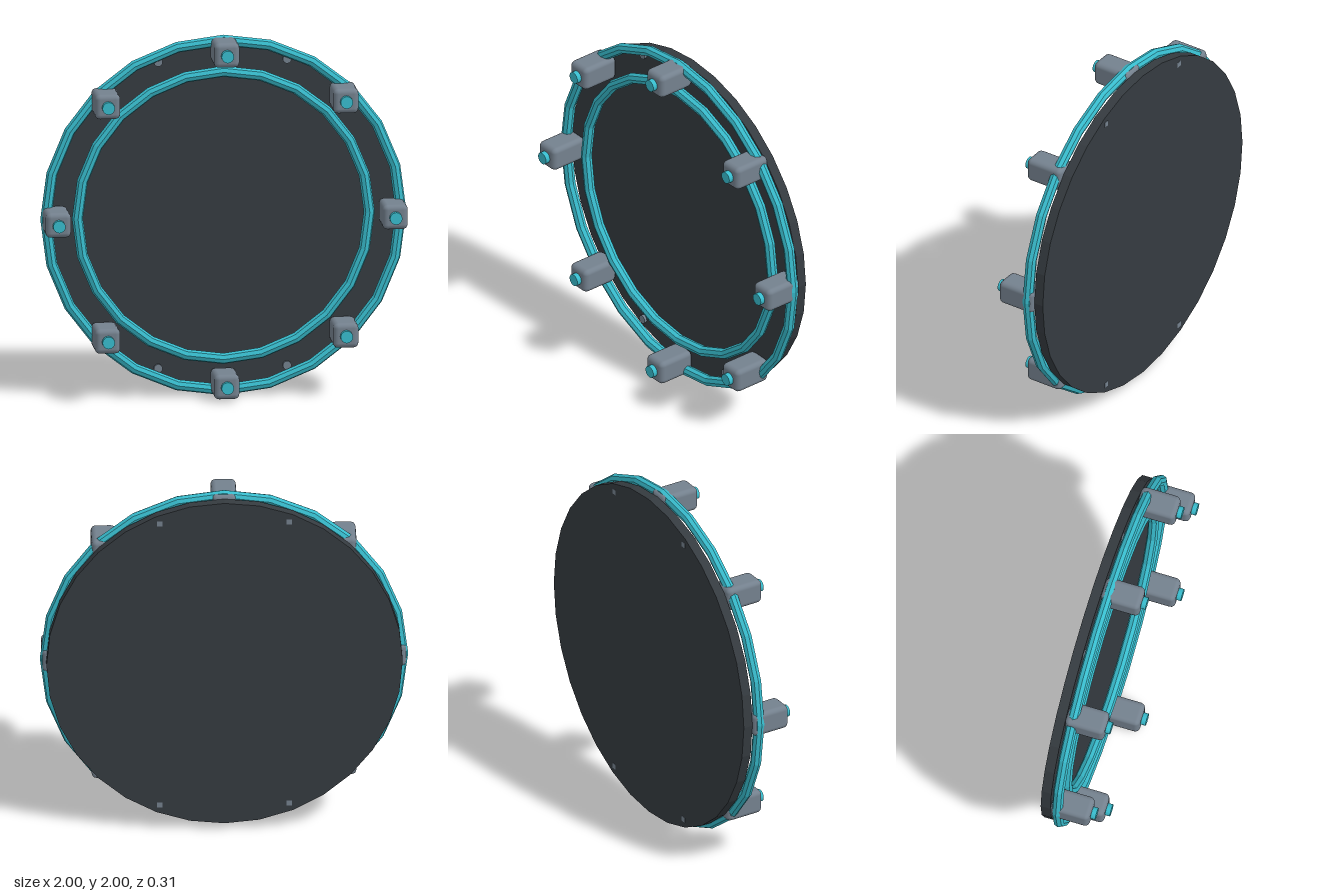
import * as THREE from 'three';
import { RoundedBoxGeometry } from 'three/addons/geometries/RoundedBoxGeometry.js';

const mat = (name, color) => {
  const m = new THREE.MeshStandardMaterial({ color });
  m.name = name;
  return m;
};

// Give a geometry hard facets
const flat = (geometry) => {
  const g = geometry.toNonIndexed();
  g.computeVertexNormals();
  return g;
};

// Cylinder along z between two depths
const rod = (radius, z0, z1, sides) =>
  new THREE.CylinderGeometry(radius, radius, z1 - z0, sides)
    .rotateX(Math.PI / 2)
    .translate(0, 0, (z0 + z1) / 2);

export function createModel() {
  const dark = mat('dark charcoal', 0x353b40);
  const grey = mat('slate grey', 0x74818e);
  const teal = mat('teal', 0x38bccd);

  const model = new THREE.Group();
  model.name = 'roundPanel';
  const add = (name, geometry, material, x = 0, y = 1, z = 0) => {
    const mesh = new THREE.Mesh(geometry, material);
    mesh.name = name;
    mesh.position.set(x, y, z);
    model.add(mesh);
    return mesh;
  };

  // Backing disc
  add('backDisc', flat(rod(0.967, -0.155, -0.1, 32)), dark);

  // Two faceted tube rings in front of the disc
  add('outerRing', flat(new THREE.TorusGeometry(0.97, 0.03, 8, 24)), teal, 0, 1, -0.06);
  add('innerRing', flat(new THREE.TorusGeometry(0.797, 0.03, 8, 24)), teal, 0, 1, -0.06);

  // Eight upright clamp blocks, each with a round button
  const block = new RoundedBoxGeometry(0.138, 0.138, 0.222, 2, 0.028);
  const button = rod(0.034, 0.1, 0.15, 16);
  for (let i = 0; i < 8; i++) {
    const a = (i * Math.PI) / 4;
    const x = 0.92 * Math.cos(a);
    const y = 1 + 0.92 * Math.sin(a);
    add('clampBlock', block, grey, x, y, 0.012);
    add('clampButton', button, teal, x, y);
  }

  // Four fixing bolts that pass through the disc
  const head = rod(0.024, -0.11, -0.085, 12);
  const shank = new THREE.BoxGeometry(0.03, 0.03, 0.056).translate(0, 0, -0.129);
  for (const sx of [-1, 1]) {
    for (const sy of [-1, 1]) {
      add('boltHead', head, grey, sx * 0.352, 1 + sy * 0.85);
      add('boltShank', shank, grey, sx * 0.352, 1 + sy * 0.85);
    }
  }
  return model;
}
